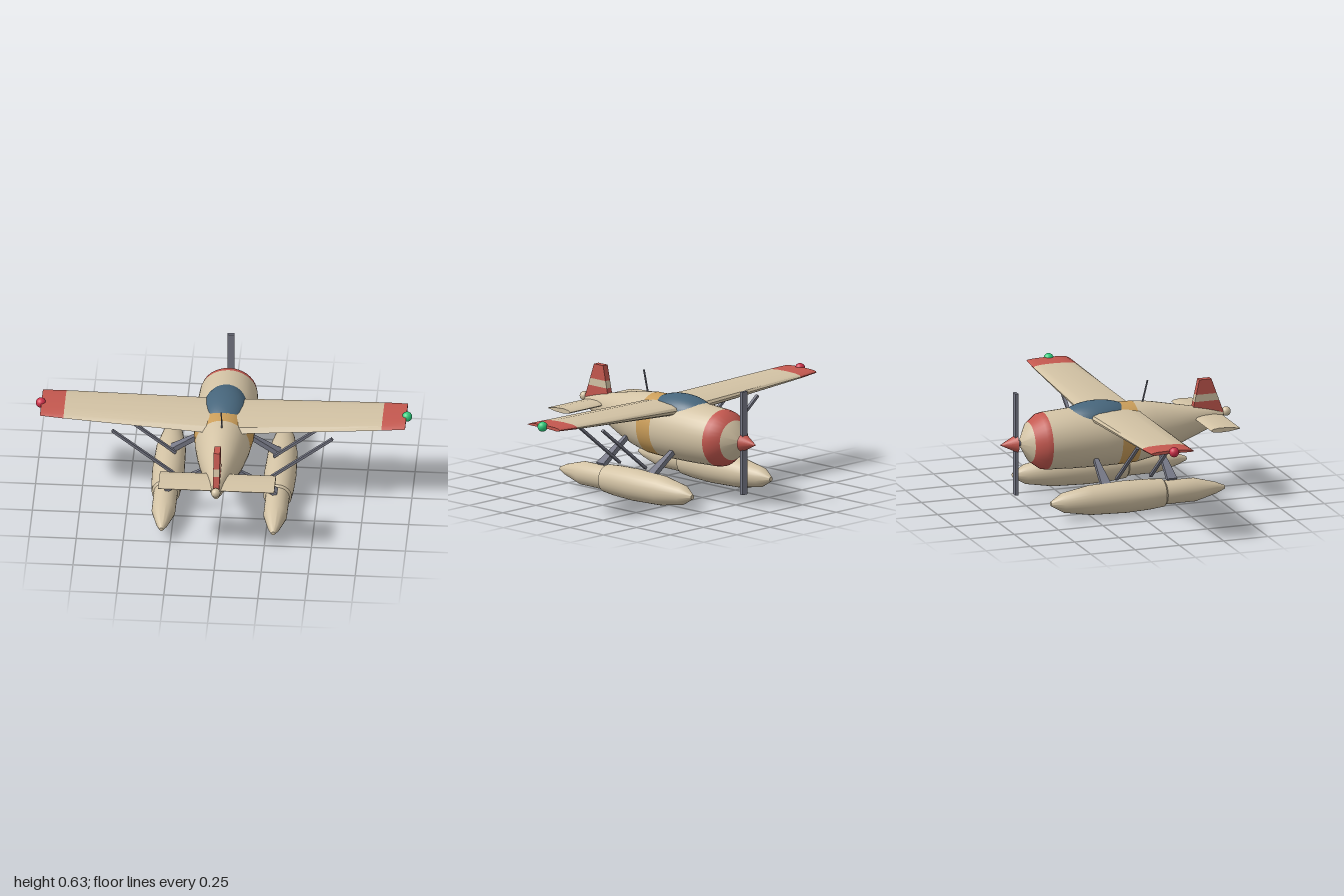
import * as THREE from 'three';
import { toCreasedNormals } from 'three/addons/utils/BufferGeometryUtils.js';

const mat = (name, color) => Object.assign(new THREE.MeshStandardMaterial({ color }), { name });
const cream = mat('cream', 0xd2c2a4);
const red = mat('red', 0xc4584f);
const ochre = mat('ochre', 0xcb9e5a);
const glass = mat('blue glass', 0x47667c);
const grey = mat('grey metal', 0x777987);
const crimson = mat('crimson lamp', 0xd0304a);
const green = mat('green lamp', 0x2ecc7c);

function mesh(name, geometry, material, x = 0, y = 0, z = 0) {
  const m = new THREE.Mesh(geometry, material);
  m.name = name;
  m.position.set(x, y, z);
  return m;
}

// Skin over closed rings of points; slots gives the material slot of each span
function loft(rings, slots = [], crease = 0.5) {
  const n = rings[0].length, pos = [], index = [];
  const g = new THREE.BufferGeometry();
  rings.forEach(r => r.forEach(p => pos.push(...p)));
  const cap = (i, flip) => {
    const c = [0, 1, 2].map(a => rings[i].reduce((s, p) => s + p[a], 0) / n);
    const ci = pos.length / 3;
    pos.push(...c);
    for (let k = 0; k < n; k++) {
      const a = i * n + k, b = i * n + (k + 1) % n;
      index.push(ci, flip ? b : a, flip ? a : b);
    }
  };
  const last = rings.length - 1;
  for (let i = 0; i < last; i++) {
    const start = index.length;
    if (i === 0) cap(0, true);
    for (let k = 0; k < n; k++) {
      const a = i * n + k, b = i * n + (k + 1) % n;
      index.push(a, b, a + n, b, b + n, a + n);
    }
    if (i === last - 1) cap(last, false);
    g.addGroup(start, index.length - start, slots[i] ?? 0);
  }
  g.setAttribute('position', new THREE.Float32BufferAttribute(pos, 3));
  g.setIndex(index);
  return toCreasedNormals(g, crease);
}

// Elliptical ring across the z axis
function oval(z, y, rx, ry, n = 36) {
  return Array.from({ length: n }, (_, k) => {
    const a = (k / n) * Math.PI * 2;
    return [Math.cos(a) * rx, y + Math.sin(a) * ry, z];
  });
}

// Wing section at x, as [chord fraction, height] pairs from the leading edge over the top
const WING = [[0, 0], [0.03, 0.5], [0.15, 0.85], [0.4, 1], [0.7, 0.85], [0.92, 0.4], [1, -0.5],
  [0.9, -0.75], [0.6, -0.6], [0.3, -0.7], [0.1, -1], [0.02, -0.6]];
const TAIL = [[0, 0], [0.08, 0.65], [0.3, 1], [0.65, 0.8], [1, 0.1], [1, -0.1], [0.65, -0.8], [0.3, -1], [0.08, -0.65]];
const foil = (profile, x, y, z0, z1, h) => profile.map(([u, v]) => [x, y + v * h, z0 + (z1 - z0) * u]);

// Square bar between two points, with its own widths along z at each end
function bar(name, a, b, wa, wb, thick) {
  const d = new THREE.Vector3(...b).sub(new THREE.Vector3(...a));
  const g = new THREE.BoxGeometry(thick, d.length(), 1);
  const p = g.attributes.position;
  for (let i = 0; i < p.count; i++) p.setZ(i, p.getZ(i) * (p.getY(i) < 0 ? wa : wb));
  g.computeVertexNormals();
  const m = mesh(name, g, grey, (a[0] + b[0]) / 2, (a[1] + b[1]) / 2, (a[2] + b[2]) / 2);
  m.quaternion.setFromUnitVectors(new THREE.Vector3(0, 1, 0), d.normalize());
  return m;
}

export function createModel() {
  const plane = new THREE.Group();
  plane.name = 'floatplane';

  // Fuselage: nose at -z, tail rising slightly at +z
  const hull = [
    [-0.535, 0.353, 0.02, 0.02], [-0.485, 0.353, 0.107, 0.107], [-0.43, 0.353, 0.148, 0.148],
    [-0.4, 0.353, 0.154, 0.154], [-0.25, 0.354, 0.162, 0.162], [-0.1, 0.355, 0.164, 0.166],
    [-0.01, 0.356, 0.159, 0.167], [0.1, 0.357, 0.146, 0.165], [0.2, 0.361, 0.129, 0.15],
    [0.3, 0.367, 0.107, 0.124], [0.4, 0.378, 0.08, 0.093], [0.5, 0.387, 0.052, 0.064], [0.605, 0.395, 0.022, 0.032],
  ];
  plane.add(mesh('fuselage', loft(hull.map(s => oval(...s)), [0, 1, 1, 0, 0, 0, 2]), [cream, red, ochre]));

  // Canopy
  const canopy = mesh('canopy', new THREE.SphereGeometry(1, 32, 20), glass, 0, 0.45, -0.105);
  canopy.scale.set(0.12, 0.095, 0.205);
  plane.add(canopy);

  // Main wing with red tips, running through the fuselage
  const half = [[0.1, 0.478, -0.168, 0.132, 0.028], [0.845, 0.506, -0.152, 0.102, 0.014], [0.97, 0.511, -0.145, 0.095, 0.01]];
  const span = [...half.map(([x, ...r]) => [-x, ...r]).reverse(), ...half];
  plane.add(mesh('wing', loft(span.map(s => foil(WING, ...s)), [1, 0, 0, 0, 1], 0.6), [cream, red]));

  // Tailplane
  plane.add(mesh('tailplane', loft([-0.308, 0.308].map(x => foil(TAIL, x, 0.407, 0.43, 0.595, 0.013))), cream));

  // Fin in three layers
  const lead = y => 0.44 + (y - 0.47) * 0.224, trail = y => 0.605 - (y - 0.425) * 0.362;
  for (const [name, y0, y1, m] of [['finBase', 0.42, 0.488, red], ['finStripe', 0.488, 0.527, cream], ['finTop', 0.527, 0.608, red]]) {
    const s = new THREE.Shape([[lead(y0), y0], [trail(y0), y0], [trail(y1), y1], [lead(y1), y1]].map(p => new THREE.Vector2(...p)));
    const g = new THREE.ExtrudeGeometry(s, { depth: 0.034, bevelEnabled: false });
    plane.add(mesh(name, g.translate(0, 0, -0.017).rotateY(-Math.PI / 2), m));
  }

  // Lamps
  const lamp = r => new THREE.SphereGeometry(r, 20, 14);
  plane.add(mesh('tailLamp', lamp(0.025), cream, 0, 0.417, 0.627));
  plane.add(mesh('leftLamp', lamp(0.027), green, 0.973, 0.512, -0.02));
  plane.add(mesh('rightLamp', lamp(0.027), crimson, -0.973, 0.512, -0.02));

  // Propeller, shaft and spinner
  const shaft = new THREE.CylinderGeometry(0.015, 0.015, 0.06, 16).rotateX(Math.PI / 2);
  plane.add(mesh('propellerShaft', shaft, grey, 0, 0.352, -0.54));
  plane.add(mesh('propeller', new THREE.BoxGeometry(0.038, 0.56, 0.018), grey, 0, 0.351, -0.56));
  plane.add(mesh('spinner', new THREE.ConeGeometry(0.048, 0.095, 24).rotateX(-Math.PI / 2), red, 0, 0.352, -0.602));

  // Antenna
  plane.add(bar('antenna', [0, 0.5, 0.152], [0, 0.63, 0.184], 0.007, 0.007, 0.007));

  // Floats and struts on both sides
  const floatStations = [
    [-0.47, 0.09, 0.012], [-0.4, 0.09, 0.053], [-0.25, 0.09, 0.079], [-0.05, 0.09, 0.086], [0.08, 0.091, 0.082],
    [0.16, 0.092, 0.075], [0.17, 0.092, 0.064], [0.34, 0.092, 0.063], [0.46, 0.091, 0.031], [0.51, 0.09, 0.01],
  ];
  const floatSkin = loft(floatStations.map(([z, y, r]) => oval(z, y, r, r, 28)));
  for (const s of [1, -1]) {
    const side = s > 0 ? 'left' : 'right';
    plane.add(mesh(side + 'Float', floatSkin, cream, s * 0.297));
    for (const z of [0.215, -0.155])
      plane.add(bar(side + 'FloatPylon', [s * 0.295, 0.155, z], [s * 0.1, 0.275, z], 0.055, 0.018, 0.026));
    for (const z of [0.107, -0.085])
      plane.add(bar(side + 'WingStrut', [s * 0.26, 0.18, z], [s * 0.585, 0.437, z], 0.017, 0.017, 0.014));
  }
  return plane;
}
